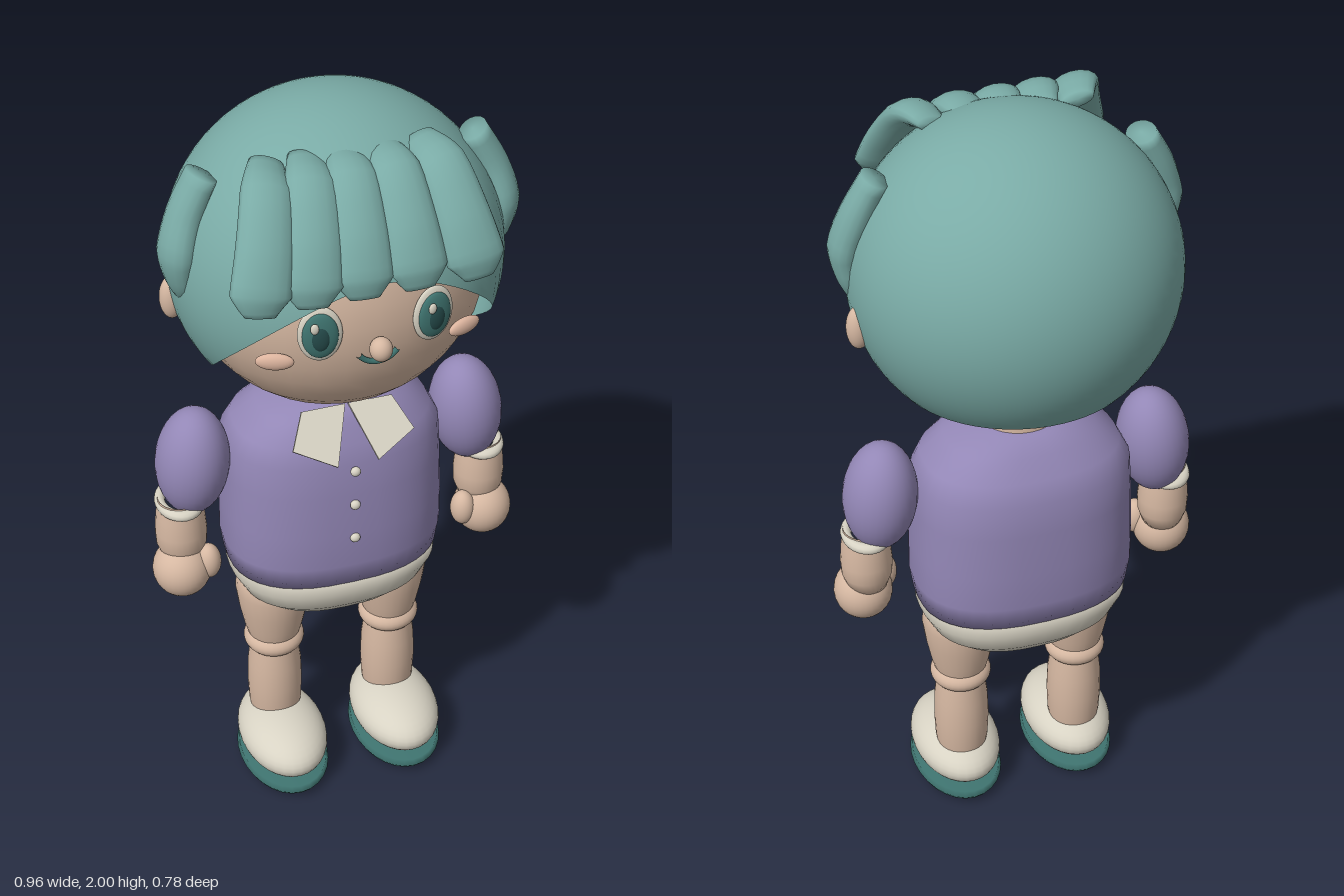
import * as THREE from 'three';

const mat = (name, color, side = THREE.FrontSide) => {
  const m = new THREE.MeshStandardMaterial({ color, side });
  m.name = name;
  return m;
};
const V = (x, y, z) => new THREE.Vector3(x, y, z);

// Skin joining closed rings of points, with a fan over each end
function loft(rings) {
  const n = rings[0].length, pos = [], idx = [];
  rings.forEach(r => r.forEach(p => pos.push(p.x, p.y, p.z)));
  for (let i = 0; i < rings.length - 1; i++) {
    for (let j = 0; j < n; j++) {
      const a = i * n + j, b = i * n + (j + 1) % n;
      idx.push(a, b, b + n, a, b + n, a + n);
    }
  }
  [0, rings.length - 1].forEach(r => {
    const c = rings[r].reduce((s, p) => s.add(p), V(0, 0, 0)).divideScalar(n);
    const k = pos.length / 3;
    pos.push(c.x, c.y, c.z);
    for (let j = 0; j < n; j++) {
      const a = r * n + j, b = r * n + (j + 1) % n;
      r === 0 ? idx.push(k, b, a) : idx.push(k, a, b);
    }
  });
  const g = new THREE.BufferGeometry();
  g.setAttribute('position', new THREE.Float32BufferAttribute(pos, 3));
  g.setIndex(idx);
  g.computeVertexNormals();
  return g;
}

// Body section: rounded-square rings given as [y, halfX, halfZ, centreZ]
const body = rows => loft(rows.map(([y, hx, hz, cz]) => Array.from({ length: 40 }, (_, j) => {
  const t = j / 40 * Math.PI * 2, s = Math.sin(t), c = Math.cos(t), e = 0.82;
  return V(hx * Math.sign(s) * Math.abs(s) ** e, y, cz + hz * Math.sign(c) * Math.abs(c) ** e);
})));

// Hair lock: oval section swept along points, sizes given as [halfWidth, halfThickness]
function lock(points, sizes, outward) {
  const curve = new THREE.CatmullRomCurve3(points), steps = 16, last = sizes.length - 1;
  return loft(Array.from({ length: steps + 1 }, (_, i) => {
    const t = i / steps, p = curve.getPoint(t), T = curve.getTangent(t);
    const N = outward.clone().addScaledVector(T, -outward.dot(T)).normalize();
    const B = T.clone().cross(N);
    const k = Math.min(Math.floor(t * last), last - 1), f = t * last - k;
    const w = THREE.MathUtils.lerp(sizes[k][0], sizes[k + 1][0], f);
    const h = THREE.MathUtils.lerp(sizes[k][1], sizes[k + 1][1], f);
    return Array.from({ length: 16 }, (_, j) => {
      const a = j / 16 * Math.PI * 2;
      return p.clone().addScaledVector(N, Math.cos(a) * h).addScaledVector(B, Math.sin(a) * w);
    });
  }));
}

export function createModel() {
  const root = new THREE.Group();
  root.name = 'toyFigure';
  const hair = mat('hairTeal', 0x7aaba6, THREE.DoubleSide);
  const skin = mat('skin', 0xd6b8a2);
  const cheek = mat('cheekSkin', 0xdcb49e);
  const purple = mat('shirtPurple', 0x9387b6);
  const cream = mat('cream', 0xd8d3c4, THREE.DoubleSide);
  const teal = mat('darkTeal', 0x3f7470);
  const dark = mat('pupilDark', 0x254a4a);

  const add = (name, geo, m, x = 0, y = 0, z = 0, parent = root) => {
    const mesh = new THREE.Mesh(geo, m);
    mesh.name = name;
    mesh.position.set(x, y, z);
    parent.add(mesh);
    return mesh;
  };
  const unit = new THREE.SphereGeometry(1, 32, 20);
  const ball = (name, m, p, r, parent = root) => {
    const mesh = add(name, unit, m, ...p, parent);
    mesh.scale.set(...r);
    return mesh;
  };
  const lathe = pts => new THREE.LatheGeometry(pts.map(([r, y]) => new THREE.Vector2(r, y)), 28);

  // Head and neck
  ball('head', skin, [0, 1.58, 0], [0.37, 0.37, 0.33]);
  add('neck', new THREE.CylinderGeometry(0.1, 0.11, 0.14, 28), skin, 0, 1.2, -0.02);
  ball('nose', skin, [0, 1.535, 0.345], [0.027, 0.03, 0.027]);
  const smile = add('mouth', new THREE.TorusGeometry(0.055, 0.007, 8, 20, 2), teal, 0, 1.545, 0.326);
  smile.rotation.z = -Math.PI / 2 - 1;

  // Hair cap: sphere whose lower edge sweeps up over the face
  const cap = new THREE.SphereGeometry(0.4, 64, 32);
  const pos = cap.attributes.position, uv = cap.attributes.uv;
  for (let i = 0; i < pos.count; i++) {
    const phi = uv.getX(i) * Math.PI * 2, front = Math.max(0, Math.sin(phi));
    const edge = Math.acos((-0.26 + 0.39 * front ** 1.6) / 0.4);
    const th = Math.floor(i / 65) / 32 * edge;
    const n = V(-Math.cos(phi) * Math.sin(th), Math.cos(th), Math.sin(phi) * Math.sin(th));
    cap.attributes.normal.setXYZ(i, n.x, n.y, n.z);
    n.multiplyScalar(0.4);
    pos.setXYZ(i, n.x, n.y, n.z);
  }
  // Last row of the sphere has one triangle per quad, so rebuild the index in full
  const capIndex = [];
  for (let r = 0; r < 32; r++) {
    for (let c = 0; c < 64; c++) {
      const a = r * 65 + c, b = a + 65;
      capIndex.push(a, b, b + 1, a, b + 1, a + 1);
    }
  }
  cap.setIndex(capIndex);
  add('hairCap', cap, hair, 0, 1.6, 0).scale.set(1.01, 1, 0.98);

  // Fringe of five fanned locks
  const tops = [-0.2, -0.11, -0.025, 0.062, 0.155], tips = [-0.29, -0.168, -0.048, 0.082, 0.222];
  tops.forEach((a, i) => {
    const x = s => a + (tips[i] - a) * s;
    const path = [V(x(0), 1.94, 0.13), V(x(0.3), 1.925, 0.225), V(x(0.65), 1.83, 0.31),
      V(x(0.92), 1.745, 0.355), V(x(1), 1.7, 0.37)];
    add('fringeLock', lock(path, [[0.04, 0.018], [0.06, 0.034], [0.067, 0.036], [0.071, 0.03],
      [0.035, 0.01]], V(0, 0.6, 0.8)), hair);
  });

  // Face and side hair, mirrored
  for (const s of [1, -1]) {
    ball('ear', skin, [s * 0.393, 1.525, -0.02], [0.03, 0.057, 0.028]);
    const eye = new THREE.Group();
    eye.name = 'eye';
    eye.position.set(s * 0.135, 1.585, 0.312);
    eye.rotation.y = s * 0.2;
    root.add(eye);
    ball('eyeWhite', cream, [0, 0, 0], [0.052, 0.073, 0.014], eye);
    ball('iris', teal, [0, 0, 0.008], [0.042, 0.06, 0.014], eye);
    ball('pupil', dark, [0, -0.003, 0.016], [0.022, 0.034, 0.01], eye);
    ball('eyeGlint', cream, [-0.014, 0.028, 0.022], [0.01, 0.014, 0.006], eye);
    ball('cheek', cheek, [s * 0.23, 1.5, 0.27], [0.045, 0.022, 0.014]).rotation.y = s * 0.35;
    const brow = add('eyebrow', new THREE.TorusGeometry(0.05, 0.006, 8, 12, 1.2), teal,
      s * 0.11, 1.645, 0.312);
    brow.rotation.z = Math.PI / 2 - 0.6;
    const path = [V(s * 0.325, 1.88, 0.037), V(s * 0.368, 1.79, 0.045), V(s * 0.395, 1.7, 0.06),
      V(s * 0.39, 1.62, 0.055), V(s * 0.375, 1.55, 0.04)];
    add('sideLock', lock(path, [[0.045, 0.035], [0.05, 0.042], [0.058, 0.043], [0.045, 0.03],
      [0.012, 0.01]], V(s, 0.15, 0.25)), hair);
  }

  // Shirt and shorts
  add('shirt', body([[0.685, 0.276, 0.2, -0.036], [0.75, 0.285, 0.208, -0.036], [0.85, 0.284, 0.208, -0.036],
    [0.97, 0.28, 0.203, -0.037], [1.06, 0.275, 0.196, -0.038], [1.11, 0.25, 0.175, -0.033],
    [1.16, 0.19, 0.146, -0.027], [1.2, 0.115, 0.118, -0.022]]), purple);
  add('shorts', body([[0.515, 0.05, 0.04, -0.035], [0.528, 0.12, 0.095, -0.035], [0.56, 0.2, 0.15, -0.035],
    [0.6, 0.245, 0.185, -0.035], [0.65, 0.271, 0.202, -0.035], [0.7, 0.272, 0.198, -0.035]]), cream);
  [1.05, 0.945, 0.84].forEach(y => ball('button', cream, [0, y, 0.173], [0.013, 0.013, 0.011]));

  // Collar, sleeves, arms and legs, mirrored
  for (const s of [1, -1]) {
    const wing = new THREE.Shape([[0.004, 0], [0.115, 0], [0.155, -0.07], [0.052, -0.115]]
      .map(([x, y]) => new THREE.Vector2(s * x, y * 1.3)));
    const collar = add('collar', new THREE.ExtrudeGeometry(wing, { depth: 0.008, bevelEnabled: false }),
      cream, 0, 1.203, 0.095);
    collar.rotation.x = -0.69;

    const puff = ball('puffSleeve', purple, [s * 0.36, 1.027, -0.025], [0.093, 0.15, 0.1]);
    puff.rotation.z = s * 0.1;
    const cuff = add('cuff', new THREE.TorusGeometry(0.057, 0.016, 12, 28), cream, s * 0.4, 0.912, -0.02);
    cuff.rotation.x = Math.PI / 2;
    cuff.scale.set(0.85, 1.1, 0.9);
    add('forearm', lathe([[0, 0.74], [0.05, 0.75], [0.064, 0.79], [0.066, 0.83], [0.062, 0.88], [0.055, 0.93]]),
      skin, s * 0.4, 0, -0.015);
    ball('hand', skin, [s * 0.407, 0.717, 0.005], [0.075, 0.078, 0.076]);
    ball('thumb', skin, [s * 0.343, 0.74, 0.03], [0.032, 0.05, 0.034]);

    add('thigh', lathe([[0.07, 0.42], [0.078, 0.45], [0.09, 0.51], [0.098, 0.57], [0.095, 0.62], [0.06, 0.66]]),
      skin, s * 0.16, 0, -0.022);
    ball('knee', skin, [s * 0.16, 0.395, -0.022], [0.08, 0.046, 0.08]);
    add('shin', lathe([[0.062, 0.12], [0.07, 0.17], [0.073, 0.24], [0.071, 0.31], [0.064, 0.37]]),
      skin, s * 0.16, 0, -0.022);
    ball('shoe', cream, [s * 0.16, 0.1, 0.04], [0.115, 0.077, 0.175]);
    const sole = add('sole', lathe([[0, 0], [0.75, 0.003], [0.95, 0.015], [1, 0.027], [0.95, 0.04], [0, 0.045]]),
      teal, s * 0.16, 0, 0.04);
    sole.scale.set(0.118, 1, 0.178);
  }
  return root;
}
